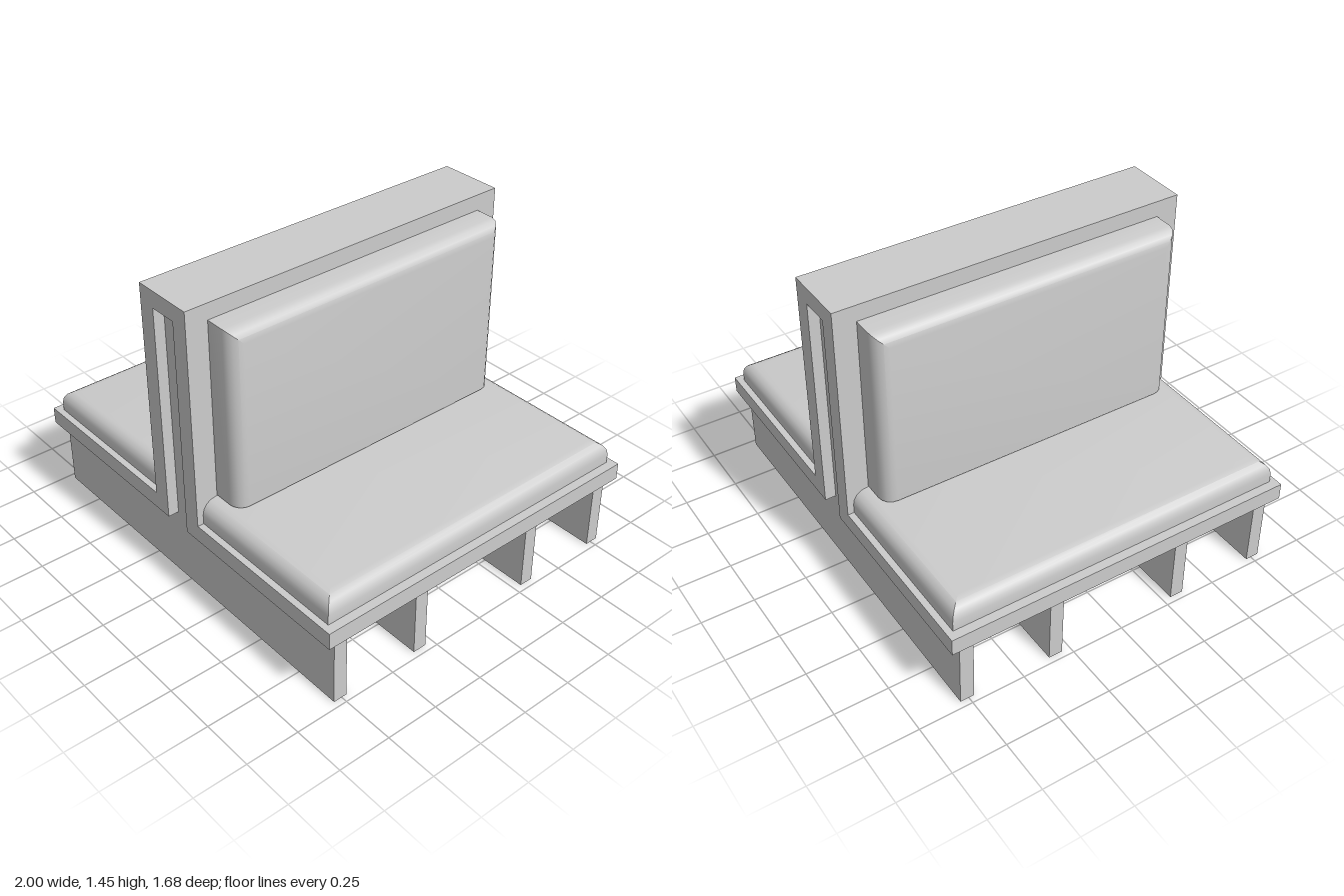
import * as THREE from 'three';
import { toCreasedNormals } from 'three/addons/utils/BufferGeometryUtils.js';

const material = new THREE.MeshStandardMaterial({ color: 0xcccccc });

function addMesh(parent, name, geometry) {
  const mesh = new THREE.Mesh(geometry, material);
  mesh.name = name;
  parent.add(mesh);
  return mesh;
}

// Extrudes an xy outline along z, centred on z = 0
function extrudeOutline(points, depth) {
  const shape = new THREE.Shape(points.map(([x, y]) => new THREE.Vector2(x, y)));
  const geometry = new THREE.ExtrudeGeometry(shape, { depth, bevelEnabled: false });
  return geometry.translate(0, 0, -depth / 2);
}

// Mirrors a half outline, listed from +x, to a full one
const mirrored = (half) => [...half, ...half.map(([x, y]) => [-x, y]).reverse()];

// Pad from x = 0 to width, y = 0 to height; top rounded on three sides, mitred corners
function cushionGeometry(width, height, length, radius, segments = 4) {
  const levels = [[0, 0]];
  for (let i = 0; i <= segments; i++) {
    const a = (i / segments) * Math.PI / 2;
    levels.push([radius * (1 - Math.cos(a)), height - radius + radius * Math.sin(a)]);
  }
  const positions = [], index = [];
  for (const [inset, y] of levels) {
    const x = width - inset, z = length / 2 - inset;
    positions.push(0, y, z, x, y, z, x, y, -z, 0, y, -z);
  }
  for (let i = 0; i < levels.length - 1; i++) {
    for (let j = 0; j < 4; j++) {
      const a = i * 4 + j, b = i * 4 + (j + 1) % 4;
      index.push(a, b, b + 4, a, b + 4, a + 4);
    }
  }
  const t = (levels.length - 1) * 4;
  index.push(t, t + 1, t + 2, t, t + 2, t + 3, 0, 2, 1, 0, 3, 2);
  const geometry = new THREE.BufferGeometry();
  geometry.setAttribute('position', new THREE.Float32BufferAttribute(positions, 3));
  geometry.setIndex(index);
  return toCreasedNormals(geometry, 0.6);
}

export function createModel() {
  const model = new THREE.Group();
  model.name = 'doubleSidedBench';

  // Seat boards and hollow back in one folded section
  addMesh(model, 'frame', extrudeOutline(mirrored([
    [0.067, 0.335], [1, 0.335], [1, 0.415], [0.152, 0.415], [0.152, 1.45],
  ]).concat([[-0.067, 1.37], [0.067, 1.37]]), 1.68));

  // Recessed end panels: full-width leg with a stem closing the hollow back
  const panel = extrudeOutline(mirrored([
    [0.97, 0], [0.97, 0.335], [0.067, 0.335], [0.067, 1.37],
  ]), 0.065);
  for (const s of [1, -1]) {
    addMesh(model, s > 0 ? 'frontEndPanel' : 'backEndPanel', panel).position.z = s * 0.757;
  }

  // Inner legs, split at the middle
  const leg = new THREE.BoxGeometry(0.903, 0.335, 0.065);
  for (const sx of [1, -1]) {
    for (const sz of [1, -1]) {
      const name = (sz > 0 ? 'front' : 'back') + (sx > 0 ? 'Left' : 'Right') + 'InnerLeg';
      addMesh(model, name, leg).position.set(sx * 0.5185, 0.1675, sz * 0.322);
    }
  }

  // Seat and back cushions
  const seat = cushionGeometry(0.806, 0.11, 1.62, 0.065);
  const back = cushionGeometry(0.845, 0.15, 1.47, 0.06);
  for (const s of [1, -1]) {
    const side = s > 0 ? 'left' : 'right';
    const seatMesh = addMesh(model, side + 'SeatCushion', seat);
    seatMesh.position.set(s * 0.152, 0.415, 0);
    seatMesh.rotation.y = s > 0 ? 0 : Math.PI;

    // Stood upright, rounded face outwards
    const holder = new THREE.Group();
    holder.name = side + 'BackCushion';
    holder.position.set(s * 0.152, 0.53, 0);
    holder.rotation.y = s > 0 ? Math.PI : 0;
    addMesh(holder, side + 'BackPad', back).rotation.z = Math.PI / 2;
    model.add(holder);
  }
  return model;
}
